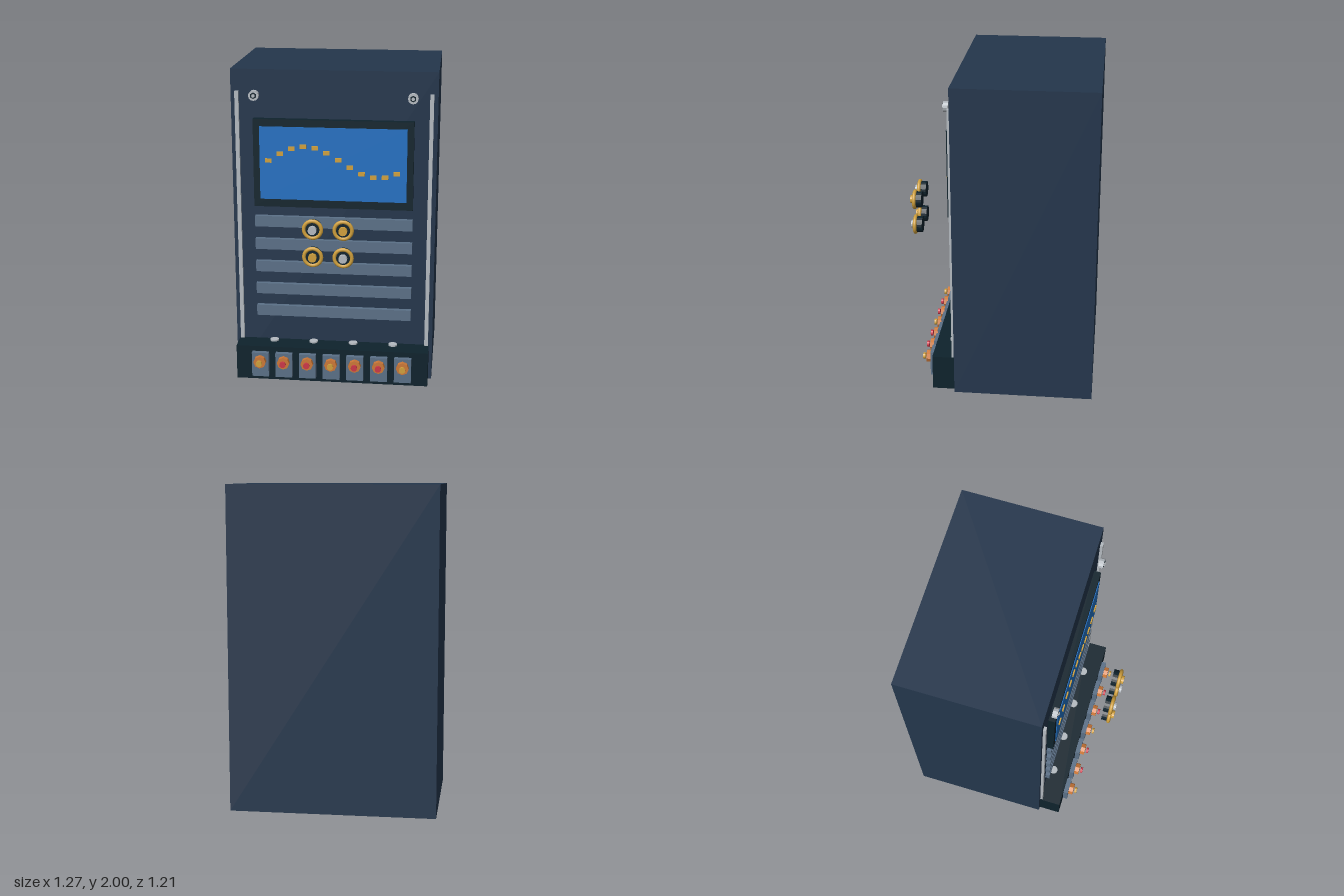
import * as THREE from 'three';

const mat = (name, color) => {
  const m = new THREE.MeshStandardMaterial({ color });
  m.name = name;
  return m;
};

export function createModel() {
  const model = new THREE.Group();
  model.name = 'controlCabinet';

  const navy = mat('navy paint', 0x24364c);
  const dark = mat('dark trim', 0x0e222c);
  const slate = mat('slate panel', 0x5b7087);
  const blue = mat('screen blue', 0x2270c2);
  const gold = mat('brass', 0xd0a03c);
  const silver = mat('silver', 0xb4bac0);
  const copper = mat('copper', 0xcc7838);
  const red = mat('red', 0xcc3848);

  const add = (name, geometry, material, x, y, z) => {
    const mesh = new THREE.Mesh(geometry, material);
    mesh.name = name;
    mesh.position.set(x, y, z);
    model.add(mesh);
    return mesh;
  };
  // Box spanning z0 to z1
  const box = (name, material, x, y, w, h, z0, z1) =>
    add(name, new THREE.BoxGeometry(w, h, z1 - z0), material, x, y, (z0 + z1) / 2);
  // Flat-sided disc facing the front, spanning z0 to z1
  const disc = (name, material, x, y, r, z0, z1, sides = 16) => {
    const g = new THREE.CylinderGeometry(r, r, z1 - z0, sides).rotateX(Math.PI / 2).toNonIndexed();
    g.computeVertexNormals();
    return add(name, g, material, x, y, (z0 + z1) / 2);
  };

  // Cabinet body
  box('cabinet', navy, 0, 1, 1.27, 2, -0.607, 0.262);

  // Side rails and top screws
  for (const s of [-1, 1]) {
    box('rail', silver, s * 0.597, 1.05, 0.024, 1.63, 0.262, 0.279);
    disc('screwHead', silver, s * 0.485, 1.845, 0.032, 0.285, 0.315, 12);
    disc('screwSocket', dark, s * 0.485, 1.845, 0.02, 0.315, 0.318, 6);
    disc('screwPin', silver, s * 0.485, 1.845, 0.011, 0.318, 0.323, 8);
  }

  // Display with a dotted wave
  box('bezel', dark, 0, 1.422, 0.99, 0.555, 0.262, 0.303);
  box('screen', blue, 0, 1.425, 0.91, 0.46, 0.303, 0.308);
  for (let i = 0; i < 12; i++) {
    box('waveMark', gold, -0.4 + i * 0.0722, 1.4425 + 0.0925 * Math.sin(i * 0.5), 0.04, 0.026, 0.308, 0.316);
  }

  // Ventilation slats
  for (let i = 0; i < 5; i++) {
    box('ventSlat', slate, 0, 1.042 - i * 0.15, 0.99, 0.07, 0.262, 0.291);
  }

  // Four knobs, set forward of the panel
  for (const sx of [-1, 1]) {
    for (const sy of [-1, 1]) {
      const x = sx * 0.0925, y = 1.003 + sy * 0.087;
      disc('knobBody', dark, x, y, 0.052, 0.53, 0.58, 20);
      add('knobRing', new THREE.TorusGeometry(0.053, 0.012, 8, 24), gold, x, y, 0.577);
      disc('knobCap', sx * sy < 0 ? silver : gold, x, y, 0.026, 0.58, 0.605, 16);
    }
  }

  // Terminal block with bolts on its top
  box('terminalBlock', dark, 0, 0.123, 1.228, 0.226, 0.262, 0.402);
  for (let i = 0; i < 4; i++) {
    add('topBolt', new THREE.CylinderGeometry(0.028, 0.028, 0.012, 12), silver, -0.384 + i * 0.256, 0.24, 0.293);
  }

  // Seven terminals
  for (let i = 0; i < 7; i++) {
    const x = (i - 3) * 0.152;
    box('terminalPlate', slate, x, 0.122, 0.108, 0.162, 0.402, 0.433);
    disc('terminalNut', copper, x, 0.149, 0.04, 0.433, 0.463, 8);
    disc('terminalTip', i % 3 === 0 ? gold : red, x, 0.149, 0.02, 0.472, 0.487, 12);
  }

  return model;
}
